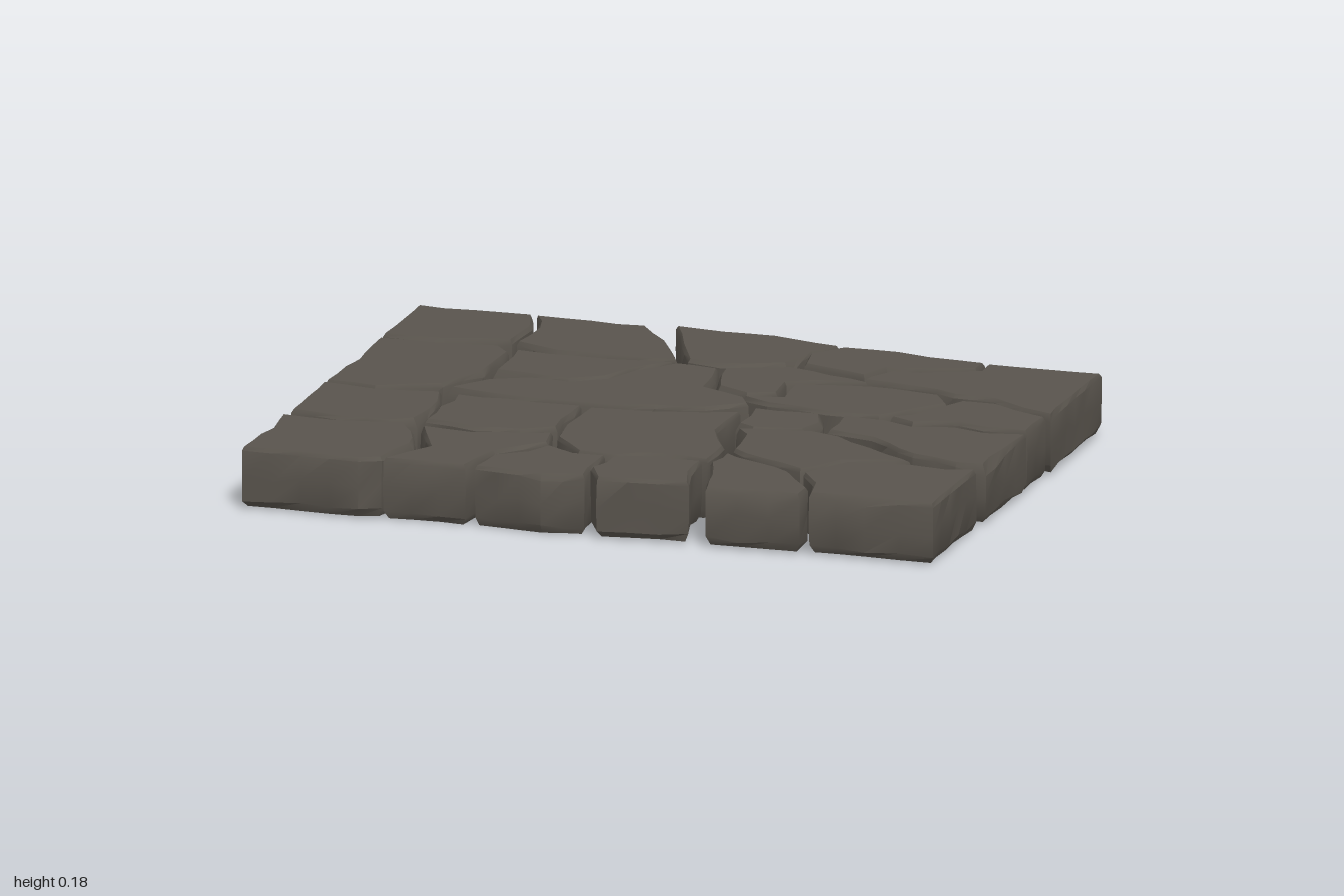
import * as THREE from 'three';
import { toCreasedNormals } from 'three/addons/utils/BufferGeometryUtils.js';

// small seeded generator for chips and roughness
function seeded(seed) {
  let s = seed * 7919 + 17;
  return () => {
    s = (s * 16807) % 2147483647;
    return s / 2147483647;
  };
}

// split long edges of an outline and roughen the new points slightly
function roughOutline(flat, rand) {
  const corners = [];
  for (let i = 0; i < flat.length; i += 2) corners.push(new THREE.Vector2(flat[i] / 100, flat[i + 1] / 100));
  const out = [];
  corners.forEach((a, i) => {
    const b = corners[(i + 1) % corners.length];
    const straight = (Math.abs(a.x) > 0.96 && Math.abs(b.x) > 0.96) || (Math.abs(a.y) > 0.67 && Math.abs(b.y) > 0.67);
    const n = Math.max(1, Math.round(a.distanceTo(b) / 0.08));
    for (let k = 0; k < n; k++) {
      const p = a.clone().lerp(b, k / n);
      if (k > 0 && !straight) p.add(new THREE.Vector2(rand() - 0.5, rand() - 0.5).multiplyScalar(0.014));
      out.push(p);
    }
  });
  return out;
}

// one slab: stacked rings of its outline with worn, chipped rims
function stoneGeometry(flat, seed) {
  const rand = seeded(seed);
  for (let i = 0; i < 5; i++) rand();
  const pts = roughOutline(flat, rand);
  const n = pts.length;
  const inward = pts.map((p, i) => {
    const d = pts[(i + 1) % n].clone().sub(pts[(i + n - 1) % n]).normalize();
    return new THREE.Vector2(-d.y, d.x);
  });
  const top = 0.18 + (rand() - 0.5) * 0.006;
  const base = 0.006 + rand() * 0.01;
  const tiltX = (rand() - 0.5) * 0.014, tiltZ = (rand() - 0.5) * 0.014;
  const cx = pts.reduce((s, p) => s + p.x, 0) / n, cz = pts.reduce((s, p) => s + p.y, 0) / n;
  const phase = rand() * 6.28;
  const chip = pts.map((p, i) => Math.max(0, Math.sin((i / n) * 12.57 + phase)) ** 4 * 0.022 * rand());

  const rings = [
    { y: () => base, inset: () => 0.014 + rand() * 0.008 },
    { y: () => base + 0.014 + rand() * 0.012, inset: () => 0.002 + rand() * 0.004 },
    { y: () => 0.1 + (rand() - 0.5) * 0.03, inset: () => rand() * 0.005 },
    { y: (i) => top - 0.011 - chip[i] * 1.6, inset: () => 0.001 + rand() * 0.003 },
    { y: () => top, inset: (i) => 0.01 + chip[i] },
  ];
  const pos = [], idx = [];
  const contours = rings.map((ring) => pts.map((p, i) => {
    const q = p.clone().addScaledVector(inward[i], ring.inset(i));
    q.x = THREE.MathUtils.clamp(q.x, -1, 1);
    pos.push(q.x, Math.max(0, ring.y(i) + (q.x - cx) * tiltX + (q.y - cz) * tiltZ), q.y);
    return q;
  }));
  // walls
  for (let r = 0; r < rings.length - 1; r++) {
    for (let i = 0; i < n; i++) {
      const j = (i + 1) % n, a = r * n + i, b = r * n + j;
      idx.push(a, a + n, b, b, a + n, b + n);
    }
  }
  // top and underside
  const cap = (contour, start, up) => {
    for (const [a, b, c] of THREE.ShapeUtils.triangulateShape(contour, [])) {
      const area = THREE.ShapeUtils.area([contour[a], contour[b], contour[c]]);
      const flip = (area > 0) === up;
      idx.push(start + a, start + (flip ? c : b), start + (flip ? b : c));
    }
  };
  cap(contours[rings.length - 1], (rings.length - 1) * n, true);
  cap(contours[0], 0, false);

  const geo = new THREE.BufferGeometry();
  geo.setAttribute('position', new THREE.Float32BufferAttribute(pos, 3));
  geo.setIndex(idx);
  return toCreasedNormals(geo, 0.6);
}

export function createModel() {
  const group = new THREE.Group();
  group.name = 'stonePaving';
  const stoneGrey = new THREE.MeshStandardMaterial({ color: 0x59544d });
  stoneGrey.name = 'stoneGrey';

  let count = 0;
  // outline corners as x, z pairs in hundredths, clockwise from above
  const stone = (row, ...outline) => {
    const mesh = new THREE.Mesh(stoneGeometry(outline, ++count), stoneGrey);
    mesh.name = `${row}Stone${count}`;
    group.add(mesh);
  };

  // back row
  stone('back', -100, -78, -67, -78, -63, -66, -64, -51, -82, -46, -100, -47);
  stone('back', -66, -78, -34, -78, -24, -65, -15, -47, -27, -46, -50, -44, -63, -51, -62, -66);
  stone('back', -26, -78, 3, -78, 23, -73, 18, -65, 16, -50, -2, -44, -12, -46, -19, -61);
  stone('back', 24, -73, 40, -74, 50, -71, 66, -69, 66, -62, 43, -55, 39, -46, 19, -53, 17, -64);
  stone('back', 67, -68, 100, -68, 100, -23, 90, -27, 80, -34, 68, -35, 62, -38, 40, -42, 40, -46, 44, -54, 67, -61);

  // second row
  stone('upperMiddle', -100, -44, -85, -44, -66, -46, -61, -40, -61, -18, -68, -3, -85, 5, -100, 3);
  stone('upperMiddle', -60, -43, -50, -42, -15, -44, -24, -33, -28, -24, -37, -18, -50, -19, -60, -20);
  stone('upperMiddle', -14, -43, -1, -41, 2, -22, 15, -15, 18, -9, 8, -1, -20, 5, -50, 4, -66, 0,
    -58, -12, -48, -17, -36, -16, -27, -22, -23, -32);
  stone('upperMiddle', 0, -42, 17, -49, 37, -44, 42, -40, 28, -37, 21, -33, 22, -22, 14, -18, 3, -22);
  stone('upperMiddle', 23, -33, 44, -38, 64, -36, 70, -28, 64, -20, 55, -10, 40, -9, 22, -12, 13, -17, 23, -21);
  stone('upperMiddle', 72, -31, 82, -31, 99, -22, 99, -6, 86, -6, 78, -9, 66, -5, 58, -9, 66, -19);

  // third row
  stone('lowerMiddle', -100, 5, -85, 7, -66, 4, -63, 14, -63, 34, -70, 38, -84, 39, -99, 36);
  stone('lowerMiddle', -61, 6, -25, 6, -24, 30, -33, 36, -45, 38, -61, 34, -62, 20);
  stone('lowerMiddle', -23, 6, 8, 1, 18, -2, 18, 18, 25, 33, 25, 48, 12, 47, 0, 52, -12, 50, -22, 38, -24, 25);
  stone('lowerMiddle', 20, -7, 40, -8, 43, 2, 40, 10, 26, 13, 20, 10);
  stone('lowerMiddle', 45, -8, 58, -7, 67, -3, 78, -6, 88, -3, 99, -5, 99, 30, 90, 30, 76, 25, 60, 12, 46, 8, 46, 1);
  stone('lowerMiddle', 22, 15, 43, 11, 52, 14, 70, 27, 80, 34, 60, 38, 56, 46, 52, 50, 38, 43, 28, 36);

  // front row
  stone('front', -100, 40, -84, 41, -66, 37, -60, 46, -56, 58, -60, 74, -66, 77, -100, 76);
  stone('front', -61, 38, -45, 40, -24, 34, -22, 44, -33, 57, -36, 74, -60, 74, -52, 58);
  stone('front', -21, 46, -12, 52, -3, 52, -2, 73, -14, 76, -34, 73, -33, 60);
  stone('front', -1, 53, 12, 49, 24, 50, 25, 62, 28, 73, 2, 76, -3, 66);
  stone('front', 27, 38, 38, 45, 50, 52, 54, 58, 60, 66, 60, 74, 33, 75, 30, 62, 26, 50);
  stone('front', 57, 47, 62, 39, 80, 36, 90, 36, 98, 35, 98, 73, 78, 73, 62, 73, 60, 63, 54, 54);

  return group;
}
